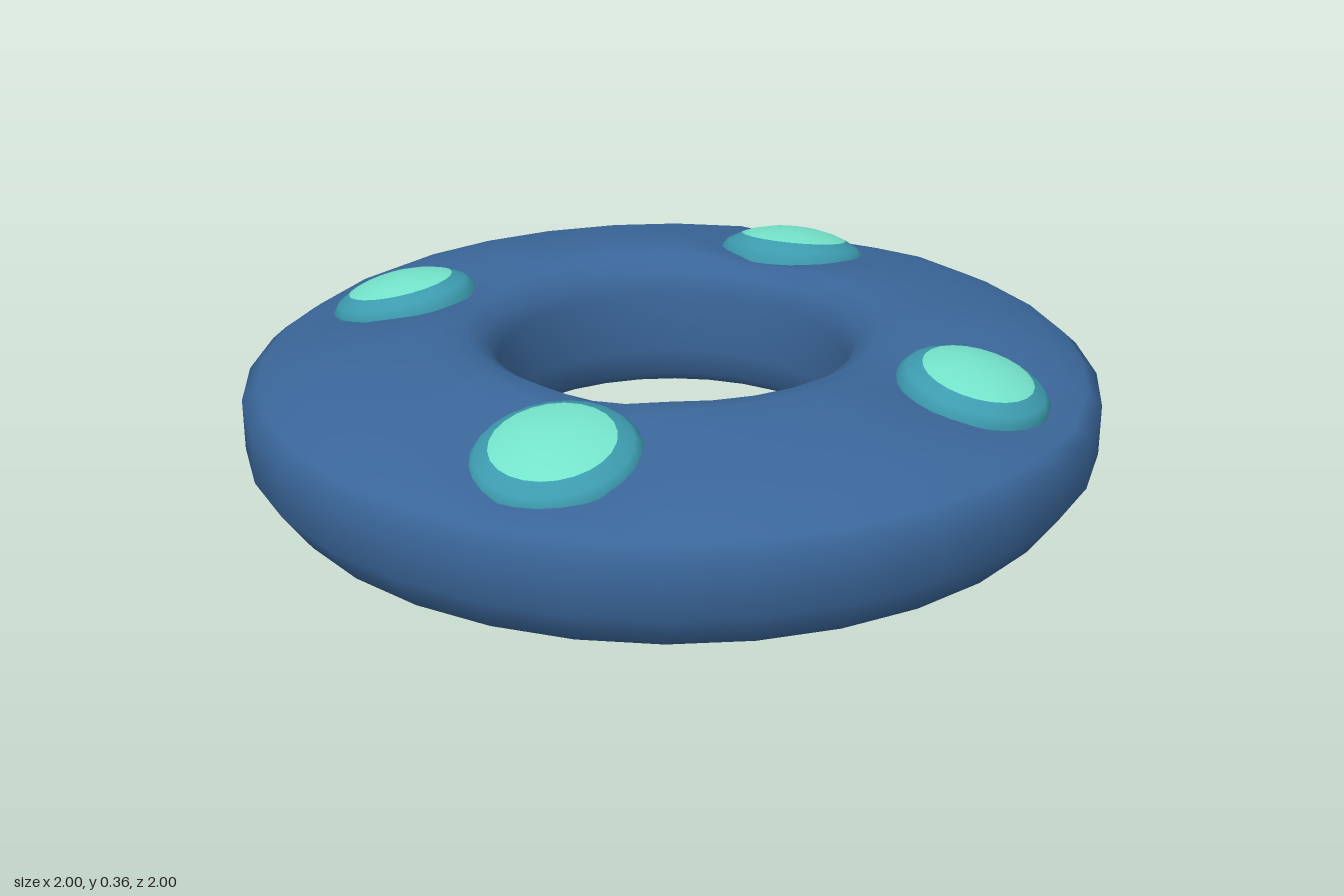
import * as THREE from 'three';
import { mergeVertices } from 'three/addons/utils/BufferGeometryUtils.js';

const SEGMENTS = 32;

// Surface of revolution from [radius, height] pairs, welded for smooth normals
function turned(profile, segments, adjust) {
  let geo = new THREE.LatheGeometry(profile.map(([r, y]) => new THREE.Vector2(r, y)), segments);
  geo.deleteAttribute('uv');
  geo.deleteAttribute('normal');
  geo = mergeVertices(geo, 1e-4);
  if (adjust) adjust(geo.attributes.position);
  geo.computeVertexNormals();
  return geo;
}

export function createModel() {
  const model = new THREE.Group();
  model.name = 'studdedRing';

  const material = (name, color) => {
    const m = new THREE.MeshStandardMaterial({ color });
    m.name = name;
    return m;
  };
  const blue = material('ringBlue', 0x3a6699);
  const teal = material('studTeal', 0x3c9bae);
  const mint = material('studMint', 0x74e2ca);

  // Stud centres: x, z, outward angle, radius across and radius outward
  const studs = [
    { name: 'frontStud', x: 0.04, z: 0.705, turn: 0, rx: 0.185, rz: 0.19 },
    { name: 'leftStud', x: 0.735, z: 0.01, turn: Math.PI / 2, rx: 0.18, rz: 0.175 },
    { name: 'backStud', x: 0.04, z: -0.7, turn: Math.PI, rx: 0.185, rz: 0.19 },
    { name: 'rightStud', x: -0.715, z: 0.01, turn: -Math.PI / 2, rx: 0.175, rz: 0.178 },
  ];

  // Ring: flat underside, bevelled lower edge, softly domed top
  const ringProfile = [
    [0.65, 0], [0.8, 0], [0.935, 0], [1, 0.09], [1, 0.21], [0.965, 0.242], [0.9, 0.275],
    [0.82, 0.302], [0.72, 0.324], [0.62, 0.339], [0.54, 0.345], [0.48, 0.335],
    [0.435, 0.305], [0.41, 0.25], [0.408, 0.1], [0.425, 0.03], [0.46, 0], [0.65, 0],
  ];
  // The top sinks a little around every stud
  const sinkAroundStuds = (pos) => {
    for (let i = 0; i < pos.count; i++) {
      if (pos.getY(i) < 0.22) continue;
      for (const s of studs) {
        const d = Math.hypot(pos.getX(i) - s.x, pos.getZ(i) - s.z);
        const drop = 0.045 * (1 - THREE.MathUtils.smoothstep(d, 0.1, 0.3));
        pos.setY(i, pos.getY(i) - drop);
      }
    }
  };
  const ring = new THREE.Mesh(turned(ringProfile, SEGMENTS, sinkAroundStuds), blue);
  ring.name = 'ring';
  model.add(ring);

  // Studs: sloping collar with a shallow cap, tilted outward
  const collarGeo = turned([[1, -0.04], [1, 0], [0.91, 0.02], [0.73, 0.038]], 24);
  const capGeo = turned([[0.73, 0.038], [0.6, 0.047], [0.35, 0.058], [0, 0.063]], 24);
  for (const s of studs) {
    const stud = new THREE.Group();
    stud.name = s.name;
    const collar = new THREE.Mesh(collarGeo, teal);
    collar.name = 'studCollar';
    const cap = new THREE.Mesh(capGeo, mint);
    cap.name = 'studCap';
    stud.add(collar, cap);
    stud.position.set(s.x, 0.291, s.z);
    stud.rotation.set(0.22, s.turn, 0, 'YXZ');
    stud.scale.set(s.rx, 1, s.rz);
    model.add(stud);
  }
  return model;
}
